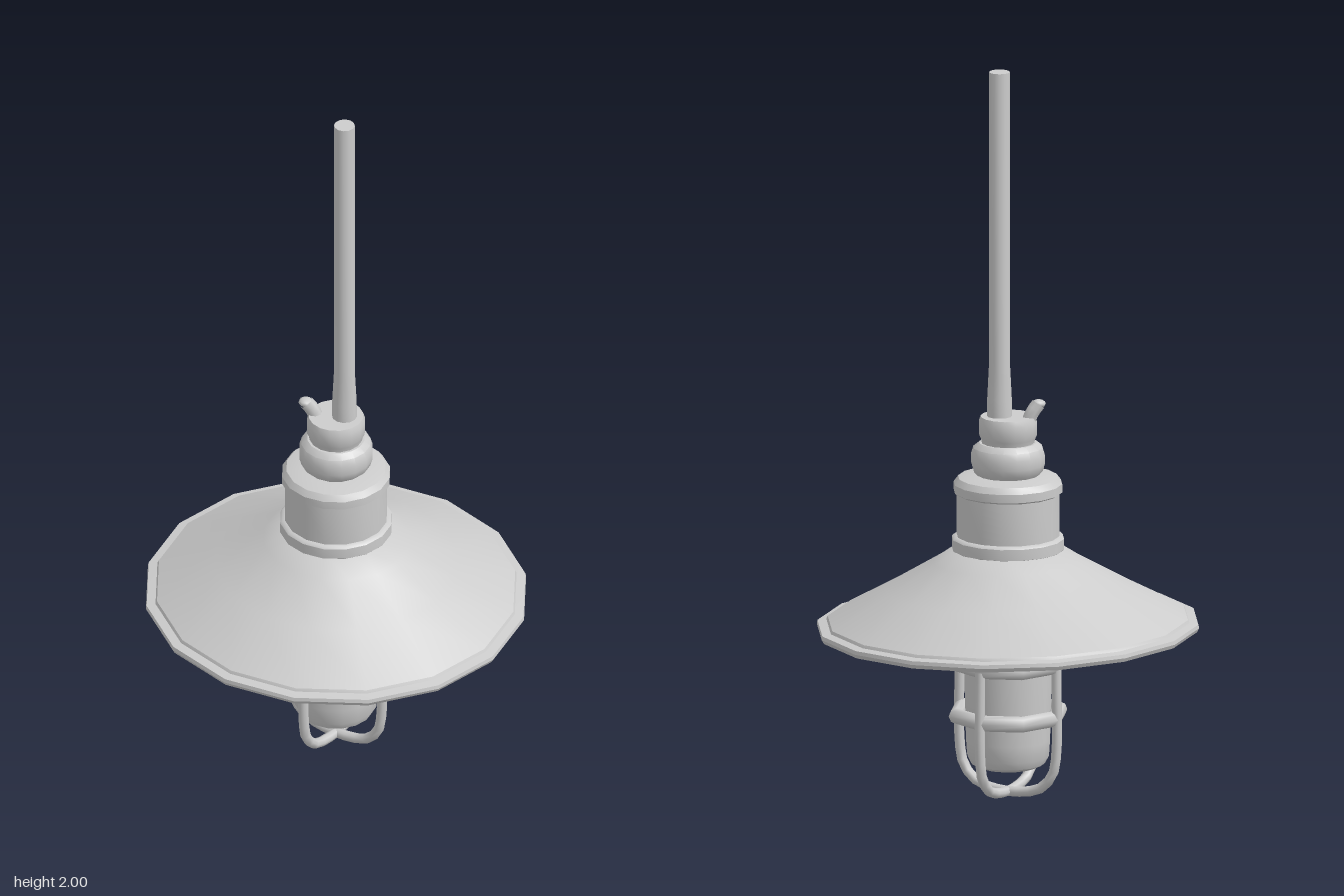
import * as THREE from 'three';
import { toCreasedNormals } from 'three/addons/utils/BufferGeometryUtils.js';

const material = new THREE.MeshStandardMaterial({ color: 0xcccccc });

function addPart(parent, name, geometry) {
  const mesh = new THREE.Mesh(geometry, material);
  mesh.name = name;
  parent.add(mesh);
  return mesh;
}

// Turned part from [radius, height] pairs, listed from the bottom up
function turned(profile, sides) {
  const points = profile.map(([r, y]) => new THREE.Vector2(r, y));
  return toCreasedNormals(new THREE.LatheGeometry(points, sides), 0.6);
}

function polyTube(points, radius, steps, sides) {
  const curve = new THREE.CatmullRomCurve3(points.map((p) => new THREE.Vector3(...p)));
  return new THREE.TubeGeometry(curve, steps, radius, sides, false);
}

export function createModel() {
  const lamp = new THREE.Group();
  lamp.name = 'pendantLamp';

  // Conical shade with a rolled rim, tilted very slightly forward
  const shade = addPart(lamp, 'shade', turned([
    [0, 0.125], [0.24, 0.125], [0.485, 0], [0.49, -0.011], [0.512, -0.011], [0.518, 0],
    [0.516, 0.01], [0.492, 0.014], [0.488, 0.022], [0.33, 0.107], [0.2, 0.182], [0.14, 0.222], [0, 0.222],
  ], 16));
  shade.position.y = 0.47;
  shade.rotation.x = 0.02;

  // Socket housing with a flange at each end
  addPart(lamp, 'socketHousing', turned([
    [0, 0.68], [0.148, 0.68], [0.152, 0.685], [0.152, 0.715], [0.147, 0.72], [0.139, 0.722],
    [0.139, 0.838], [0.147, 0.843], [0.147, 0.866], [0.135, 0.882], [0.1, 0.89], [0, 0.89],
  ], 16));

  // Rounded neck and cap
  addPart(lamp, 'neck', turned([
    [0, 0.88], [0.08, 0.885], [0.094, 0.9], [0.1, 0.92], [0.1, 0.945], [0.094, 0.965], [0.078, 0.978], [0, 0.978],
  ], 16));
  addPart(lamp, 'cap', turned([
    [0, 0.97], [0.07, 0.97], [0.074, 0.99], [0.079, 1.0], [0.079, 1.035], [0.074, 1.05], [0, 1.05],
  ], 16));

  // Hanging rod, slightly off centre and flared at its foot
  const rod = addPart(lamp, 'rod', turned([
    [0, 1.03], [0.034, 1.03], [0.033, 1.1], [0.028, 1.2], [0.028, 2], [0, 2],
  ], 12));
  rod.position.set(0.011, 0, 0.02);

  // Short cable stub leaning out of the cap
  addPart(lamp, 'cableStub', polyTube(
    [[-0.018, 1.02, -0.047], [-0.024, 1.06, -0.06], [-0.036, 1.085, -0.074]], 0.02, 4, 8));
  const stubEnd = addPart(lamp, 'cableStubEnd', new THREE.SphereGeometry(0.02, 8, 6));
  stubEnd.position.set(-0.036, 1.085, -0.074);
  stubEnd.scale.y = 0.6;

  // Glass jar
  addPart(lamp, 'glass', turned([
    [0, 0.082], [0.08, 0.084], [0.1, 0.094], [0.111, 0.115], [0.114, 0.16], [0.12, 0.4], [0.12, 0.596], [0, 0.596],
  ], 16));

  // Wire cage: four bent wires meeting below the glass, and two rings
  const cage = new THREE.Group();
  cage.name = 'cage';
  lamp.add(cage);
  const bend = [[0.15, 0.595, 0], [0.15, 0.35, 0], [0.15, 0.14, 0], [0.138, 0.075, 0],
    [0.1, 0.033, 0], [0.05, 0.018, 0], [0, 0.014, 0]];
  for (let i = 0; i < 4; i++) {
    addPart(cage, 'cageWire', polyTube(bend, 0.014, 20, 8)).rotation.y = i * Math.PI / 2;
  }
  for (const y of [0.23, 0.375]) {
    const ring = addPart(cage, 'cageRing', new THREE.TorusGeometry(0.143, 0.022, 8, 8));
    ring.rotation.x = Math.PI / 2;
    ring.position.y = y;
  }

  return lamp;
}
